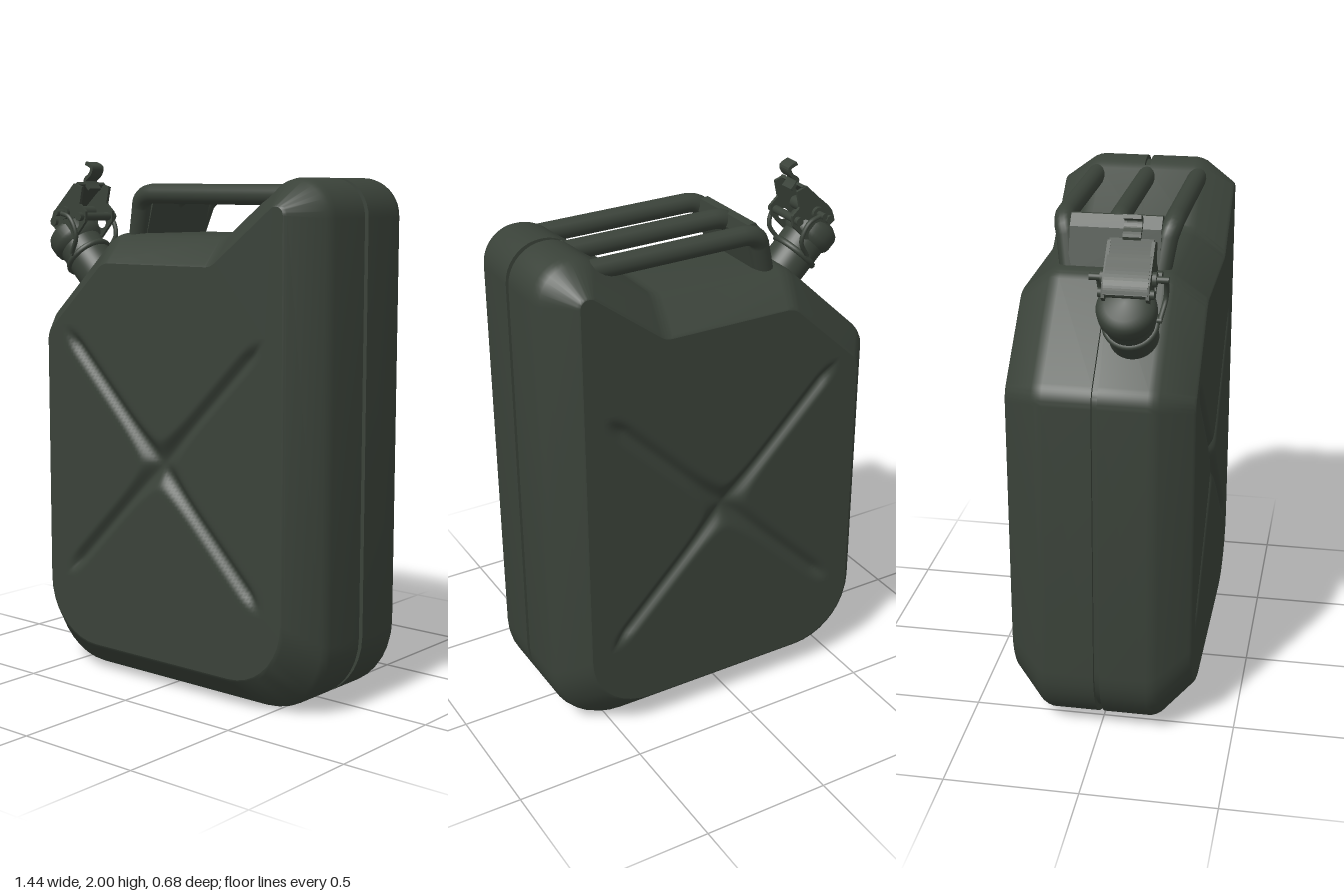
import * as THREE from 'three';
import { toCreasedNormals } from 'three/addons/utils/BufferGeometryUtils.js';

const V2 = (x, y) => new THREE.Vector2(x, y);
const V3 = (x, y, z) => new THREE.Vector3(x, y, z);

// Polygon corners [x, y, radius] -> points with rounded corners, always the same count
function roundedOutline(corners, n = 9) {
  const pts = [];
  corners.forEach(([x, y, r], i) => {
    const p = V2(x, y), a = corners.at(i - 1), b = corners[(i + 1) % corners.length];
    const da = V2(a[0], a[1]).sub(p).normalize(), db = V2(b[0], b[1]).sub(p).normalize();
    const turn = Math.PI - Math.acos(THREE.MathUtils.clamp(da.dot(db), -1, 1));
    const t = r * Math.tan(turn / 2), k = t - (4 / 3) * Math.tan(turn / 4) * r;
    const at = (d, s) => p.clone().addScaledVector(d, s);
    pts.push(...new THREE.CubicBezierCurve(at(da, t), at(da, k), at(db, k), at(db, t)).getPoints(n));
  });
  return pts;
}

const OUTER = roundedOutline([[-0.66, 0, 0.27], [0.715, 0, 0.27], [0.715, 1.93, 0.14], [0.52, 1.93, 0.15],
  [0.25, 1.725, 0.1], [-0.3, 1.725, 0.1], [-0.66, 1.385, 0.1]]);
const INNER = roundedOutline([[-0.55, 0.12, 0.24], [0.605, 0.12, 0.24], [0.605, 1.83, 0.03], [0.56, 1.83, 0.03],
  [0.28, 1.615, 0.08], [-0.255, 1.615, 0.08], [-0.55, 1.34, 0.08]]);
const FACE_Z = 0.34;

// Side wall: rings from back to front, blending outer and inner outlines, with a seam groove at z = 0
function wallGeometry() {
  const half = [[0.16, 0.011, true], [0, 0.011], [0, 0.185], [0.04, 0.205], [0.12, 0.225],
    [0.9, 0.331], [0.95, 0.337], [1, FACE_Z]];
  const rings = [...half.map(([t, z, g]) => [t, -z, g]).reverse(), ...half];
  const pos = [], index = [], n = OUTER.length;
  rings.forEach(([t, z, groove], i) => OUTER.forEach((o, j) => {
    // the seam is closed below the handles
    const closed = groove && o.y > 1.5 && o.x > -0.3 && o.x < 0.5;
    const p = o.clone().lerp(INNER[j], closed ? 0 : t);
    pos.push(p.x, p.y, z);
    if (i < rings.length - 1) {
      const a = i * n + j, b = i * n + (j + 1) % n;
      index.push(a, b, b + n, a, b + n, a + n);
    }
  }));
  const g = new THREE.BufferGeometry();
  g.setAttribute('position', new THREE.Float32BufferAttribute(pos, 3));
  g.setIndex(index);
  return toCreasedNormals(g, 0.45);
}

// Flat panel with a pressed cross; s = 1 front, s = -1 back
function panelGeometries(s) {
  const cx = 0.03 * s, cy = 0.875, h = 0.5;
  const shape = new THREE.Shape(INNER.map(p => V2(p.x * s, p.y)));
  shape.holes.push(new THREE.Path([V2(cx - h, cy - h), V2(cx - h, cy + h), V2(cx + h, cy + h), V2(cx + h, cy - h)]));
  const rim = new THREE.ShapeGeometry(shape);
  const cross = new THREE.PlaneGeometry(2 * h, 2 * h, 80, 80);
  const p = cross.attributes.position;
  for (let i = 0; i < p.count; i++) {
    const x = p.getX(i), y = p.getY(i), r = Math.hypot(x, y);
    const a = Math.abs(x - y) * Math.SQRT1_2, b = Math.abs(x + y) * Math.SQRT1_2;
    const d = a * b / (Math.hypot(a, b) || 1);
    const bump = Math.exp(-((r / 0.14) ** 2));
    const cut = 1 - THREE.MathUtils.smoothstep(d, 0, 0.038 + 0.02 * bump);
    const fade = 1 - THREE.MathUtils.smoothstep(Math.max(Math.abs(x), Math.abs(y)), 0.42, 0.495);
    p.setZ(i, -(0.024 + 0.012 * bump) * cut * fade);
  }
  cross.computeVertexNormals();
  cross.translate(cx, cy, 0);
  return [rim, cross].map(g => {
    g.translate(0, 0, FACE_Z);
    return s < 0 ? g.rotateY(Math.PI) : g;
  });
}

// Bent sheet strip following 2D points, extruded along z
function stripGeometry(points, thick, width) {
  const c = new THREE.SplineCurve(points.map(p => V2(...p)));
  const left = [], right = [];
  for (let i = 0; i <= 20; i++) {
    const p = c.getPoint(i / 20), t = c.getTangent(i / 20), n = V2(-t.y, t.x).multiplyScalar(thick / 2);
    left.push(p.clone().add(n));
    right.unshift(p.clone().sub(n));
  }
  const g = new THREE.ExtrudeGeometry(new THREE.Shape([...left, ...right]), { depth: width, bevelEnabled: false });
  return g.translate(0, 0, -width / 2);
}

export function createModel() {
  const paint = new THREE.MeshStandardMaterial({ color: 0x3a4239 });
  paint.name = 'dark olive paint';
  const root = new THREE.Group();
  root.name = 'fuelCan';
  const add = (parent, name, geometry, x = 0, y = 0, z = 0) => {
    const m = new THREE.Mesh(geometry, paint);
    m.name = name;
    m.position.set(x, y, z);
    parent.add(m);
    return m;
  };
  const group = (name) => {
    const g = new THREE.Group();
    g.name = name;
    root.add(g);
    return g;
  };

  // Body
  const body = group('body');
  add(body, 'bodyWall', wallGeometry());
  for (const s of [1, -1]) {
    const [rim, cross] = panelGeometries(s);
    const side = s > 0 ? 'front' : 'back';
    add(body, side + 'Panel', rim);
    add(body, side + 'PressedCross', cross);
  }

  // Triple carrying handle with a shared sloping leg
  const handles = group('handles');
  for (const z of [-0.2, 0, 0.2]) {
    const path = new THREE.CurvePath();
    const a = V3(-0.11, 1.875, z), b = V3(-0.18, 1.875, z), c = V3(-0.195, 1.825, z * 0.92);
    path.add(new THREE.LineCurve3(V3(0.5, 1.87, z), a));
    path.add(new THREE.QuadraticBezierCurve3(a, b, c));
    path.add(new THREE.LineCurve3(c, V3(-0.232, 1.7, z * 0.82)));
    add(handles, 'handleBar', new THREE.TubeGeometry(path, 60, 0.037, 16, false));
  }
  const leg = new THREE.Shape([V2(-0.268, 1.7), V2(-0.19, 1.7), V2(-0.15, 1.85), V2(-0.16, 1.895),
    V2(-0.19, 1.9), V2(-0.225, 1.86)]);
  add(handles, 'handleLeg', new THREE.ExtrudeGeometry(leg, { depth: 0.33, bevelEnabled: false }), 0, 0, -0.165);

  // Tilted neck with collar and lid
  const spout = group('spout');
  spout.position.set(-0.49, 1.56, 0.11);
  spout.rotation.z = Math.PI / 4;
  const neck = [[0.088, -0.04], [0.088, 0.15], [0.1, 0.165], [0.103, 0.18], [0.103, 0.215], [0.095, 0.232],
    [0.07, 0.25], [0, 0.256]].map(p => V2(...p));
  add(spout, 'neckAndLid', toCreasedNormals(new THREE.LatheGeometry(neck, 40), 0.6));
  const collar = add(spout, 'neckCollar', new THREE.TorusGeometry(0.088, 0.012, 8, 40), 0, 0.09, 0);
  collar.rotation.x = Math.PI / 2;

  // Locking lever: side cheeks, top sheet and thumb hook
  const lever = group('lockingLever');
  lever.position.z = 0.112;
  const cheek = new THREE.Shape([[-0.685, 1.755], [-0.67, 1.8], [-0.55, 1.915], [-0.505, 1.9], [-0.52, 1.835],
    [-0.487, 1.805], [-0.49, 1.765], [-0.55, 1.7], [-0.6, 1.69]].map(p => V2(...p)));
  cheek.holes.push(new THREE.Path().absarc(-0.545, 1.76, 0.022, 0, 2 * Math.PI, true));
  for (const z of [-0.075, 0.075]) {
    add(lever, 'leverCheek', new THREE.ExtrudeGeometry(cheek, { depth: 0.012, bevelEnabled: false }), 0, 0, z - 0.006);
    // wire bail on each side
    const bail = new THREE.CatmullRomCurve3([V3(-0.6, 1.8, z * 1.5), V3(-0.54, 1.78, z * 1.55),
      V3(-0.51, 1.71, z * 1.5), V3(-0.55, 1.64, z * 1.3)]);
    add(lever, 'bailWire', new THREE.TubeGeometry(bail, 20, 0.009, 8, false));
  }
  add(lever, 'leverSheet', stripGeometry([[-0.68, 1.765], [-0.66, 1.805], [-0.6, 1.86], [-0.535, 1.915]], 0.012, 0.15));
  add(lever, 'thumbHook', stripGeometry([[-0.515, 1.89], [-0.54, 1.925], [-0.512, 1.95], [-0.503, 1.977],
    [-0.535, 1.993]], 0.014, 0.062));
  // Hinge pins across the lever
  for (const [x, y, r, len] of [[-0.6, 1.8, 0.026, 0.19], [-0.6, 1.8, 0.012, 0.27], [-0.655, 1.765, 0.016, 0.19],
    [-0.51, 1.785, 0.016, 0.2], [-0.55, 1.64, 0.01, 0.21]]) {
    add(lever, 'hingePin', new THREE.CylinderGeometry(r, r, len, 16), x, y, 0).rotation.x = Math.PI / 2;
  }
  return root;
}
